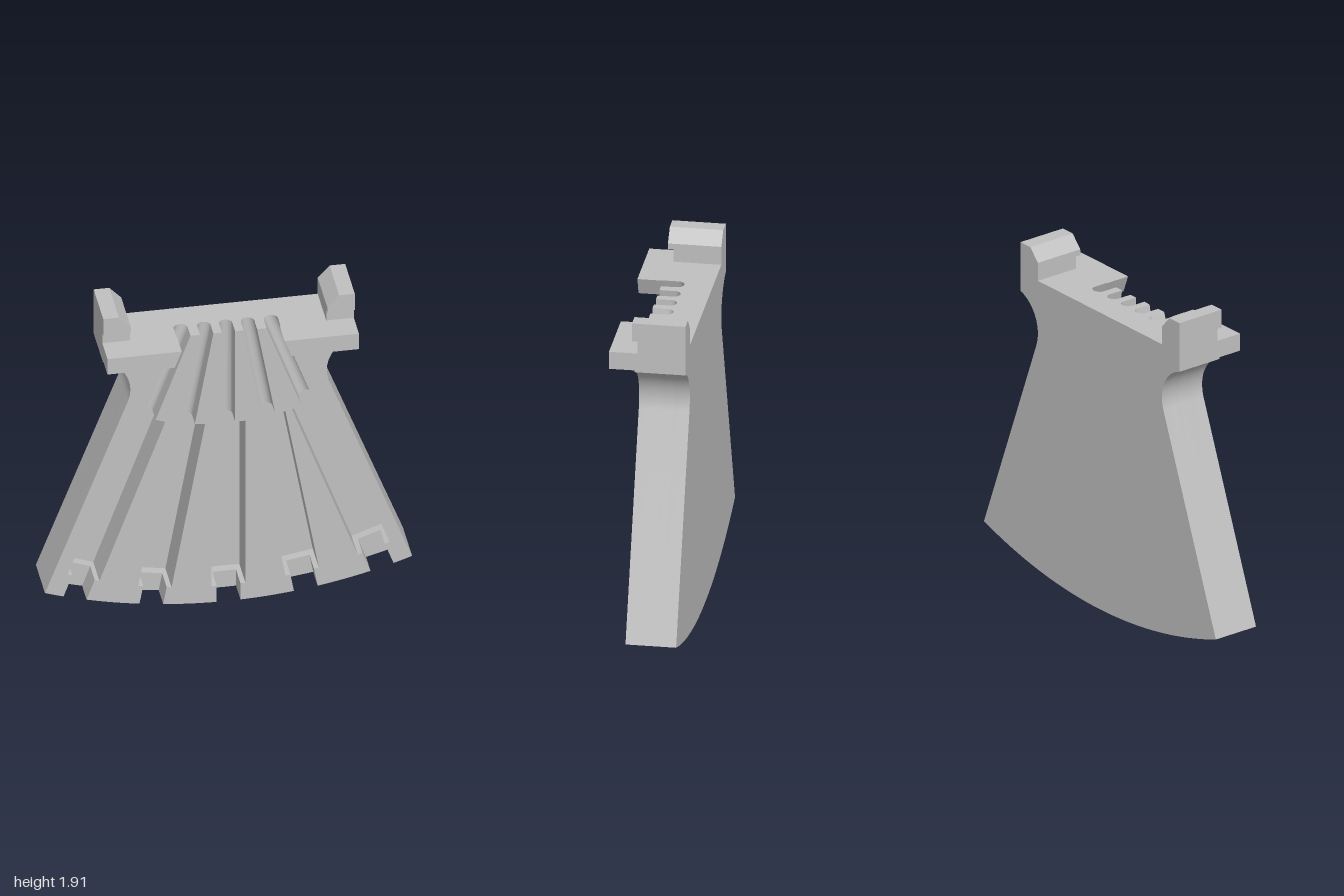
import * as THREE from 'three';
import { toCreasedNormals } from 'three/addons/utils/BufferGeometryUtils.js';

const BACK = -0.21, SLOT = -0.12, TAIL = -0.07, GROOVE = -0.055, FRONT = 0.065;
const TOP = 1.74, PIVOT = 2.415, ARC = 3.03;      // fan pivot height, bottom arc radius
const G = 0.036, W = 0.092, T = 0.065;            // half widths: groove, slot, tail
const R0 = 1.26, R1 = 2.31;                       // slot ends, measured from the pivot
const ANGLES = [-2, -1, 0, 1, 2].map(i => i * Math.PI / 18);

// point at offset u across and distance r along a channel of angle a
const polar = (a, u, r) => new THREE.Vector2(
  u * Math.cos(a) + r * Math.sin(a), PIVOT + u * Math.sin(a) - r * Math.cos(a));
const topR = (a, u) => (PIVOT - TOP + u * Math.sin(a)) / Math.cos(a);
const arcY = x => ARC - Math.sqrt(ARC * ARC - x * x);

// one wall of a channel, from the top edge down to the bottom arc
function wall(a, s) {
  let r = 2.4;
  for (let k = 0; k < 12; k++) {
    const p = polar(a, s * T, r);
    r += (p.y - arcY(p.x)) / Math.cos(a);
  }
  return [[G, topR(a, s * G)], [G, R0], [W, R0], [W, R1], [T, R1], [T, r]]
    .map(([u, d]) => polar(a, s * u, d));
}

// outer side, from the top corner round the scoop to the bottom corner
function side(s) {
  const pts = [new THREE.Vector2(s * 0.685, TOP)];
  for (let k = 0; k <= 18; k++) {
    const t = THREE.MathUtils.degToRad(106.2 + (200.7 - 106.2) * k / 18);
    pts.push(new THREE.Vector2(s * (0.743 + 0.208 * Math.cos(t)), 1.43 + 0.208 * Math.sin(t)));
  }
  pts.push(new THREE.Vector2(s, 0.17));
  return pts;
}

// inner points of the bottom arc between two x values
function arc(x0, x1, n) {
  const pts = [];
  for (let k = 1; k < n; k++) {
    const x = x0 + (x1 - x0) * k / n;
    pts.push(new THREE.Vector2(x, arcY(x)));
  }
  return pts;
}

// joins a left boundary (top to bottom) with a right one along the arc
const join = (left, right, n) => [
  ...left, ...arc(left.at(-1).x, right.at(-1).x, n), ...[...right].reverse()];

export function createModel() {
  const model = new THREE.Group();
  const grey = new THREE.MeshStandardMaterial({ color: 0xc0c0c0 });
  grey.name = 'plain grey';

  function add(name, geometry) {
    const mesh = new THREE.Mesh(toCreasedNormals(geometry, 0.4), grey);
    mesh.name = name;
    model.add(mesh);
  }
  function slab(name, pts, z0, z1, holes = []) {
    const shape = new THREE.Shape(pts);
    shape.holes = holes.map(h => new THREE.Path(h));
    const geo = new THREE.ExtrudeGeometry(shape, { depth: z1 - z0, bevelEnabled: false });
    add(name, geo.translate(0, 0, z0));
  }

  // solid back, then a layer pierced by the wide slots
  const full = join(side(-1), side(1), 40);
  slab('backPlate', full, BACK, SLOT);
  const slotHoles = ANGLES.map(a => [
    polar(a, -W, R0), polar(a, W, R0), polar(a, W, R1), polar(a, -W, R1)]);
  slab('slotLayer', full, SLOT, TAIL, slotHoles);

  // thin layer where the slots open through the bottom edge
  let comb = side(-1);
  for (const a of ANGLES) {
    const left = wall(a, -1).slice(2), right = wall(a, 1).slice(2);
    comb = [...comb, ...arc(comb.at(-1).x, left.at(-1).x, 6), ...left.reverse(), ...right];
  }
  slab('tailLayer', join(comb, side(1), 6), TAIL, GROOVE);

  // front ribs between the channels
  for (let i = 0; i <= ANGLES.length; i++) {
    const left = i === 0 ? side(-1) : wall(ANGLES[i - 1], 1);
    const right = i === ANGLES.length ? side(1) : wall(ANGLES[i], -1);
    slab('rib', join(left, right, 8), GROOVE, FRONT);
  }

  // rounded bottoms of the narrow grooves
  const corner = new THREE.Shape();
  corner.moveTo(-G, GROOVE);
  corner.lineTo(G, GROOVE);
  corner.lineTo(G, GROOVE + G);
  corner.absarc(0, GROOVE + G, G, 0, -Math.PI, true);
  corner.lineTo(-G, GROOVE);
  for (const a of ANGLES) {
    const geo = new THREE.ExtrudeGeometry(corner, { depth: 1, bevelEnabled: false, curveSegments: 16 });
    const pos = geo.attributes.position;
    for (let k = 0; k < pos.count; k++) {
      const u = pos.getX(k), z = pos.getY(k);
      const p = polar(a, u, THREE.MathUtils.lerp(R0, topR(a, u), pos.getZ(k)));
      pos.setXYZ(k, p.x, p.y, z);
    }
    // the mapping swaps two axes, so turn the faces back outward
    for (let k = 0; k < pos.count; k += 3) {
      const b = new THREE.Vector3().fromBufferAttribute(pos, k + 1);
      const c = new THREE.Vector3().fromBufferAttribute(pos, k + 2);
      pos.setXYZ(k + 1, c.x, c.y, c.z);
      pos.setXYZ(k + 2, b.x, b.y, b.z);
    }
    add('grooveBottom', geo);
  }

  // front lugs and hooked ears on both shoulders
  for (const s of [-1, 1]) {
    const mirror = pts => pts.map(([x, y]) => new THREE.Vector2(s * x, y));
    slab('frontLug', mirror([[0.28, TOP], [0.319, 1.64], [0.685, 1.64], [0.685, TOP]]), FRONT, 0.205);
    slab('earNeck', mirror([[0.535, TOP], [0.685, TOP], [0.685, 1.81], [0.535, 1.81]]), BACK, 0.05);
    slab('earHook', mirror([[0.535, 1.81], [0.685, 1.81], [0.685, 1.915], [0.6, 1.915], [0.535, 1.845]]), BACK, 0.08);
  }
  return model;
}
